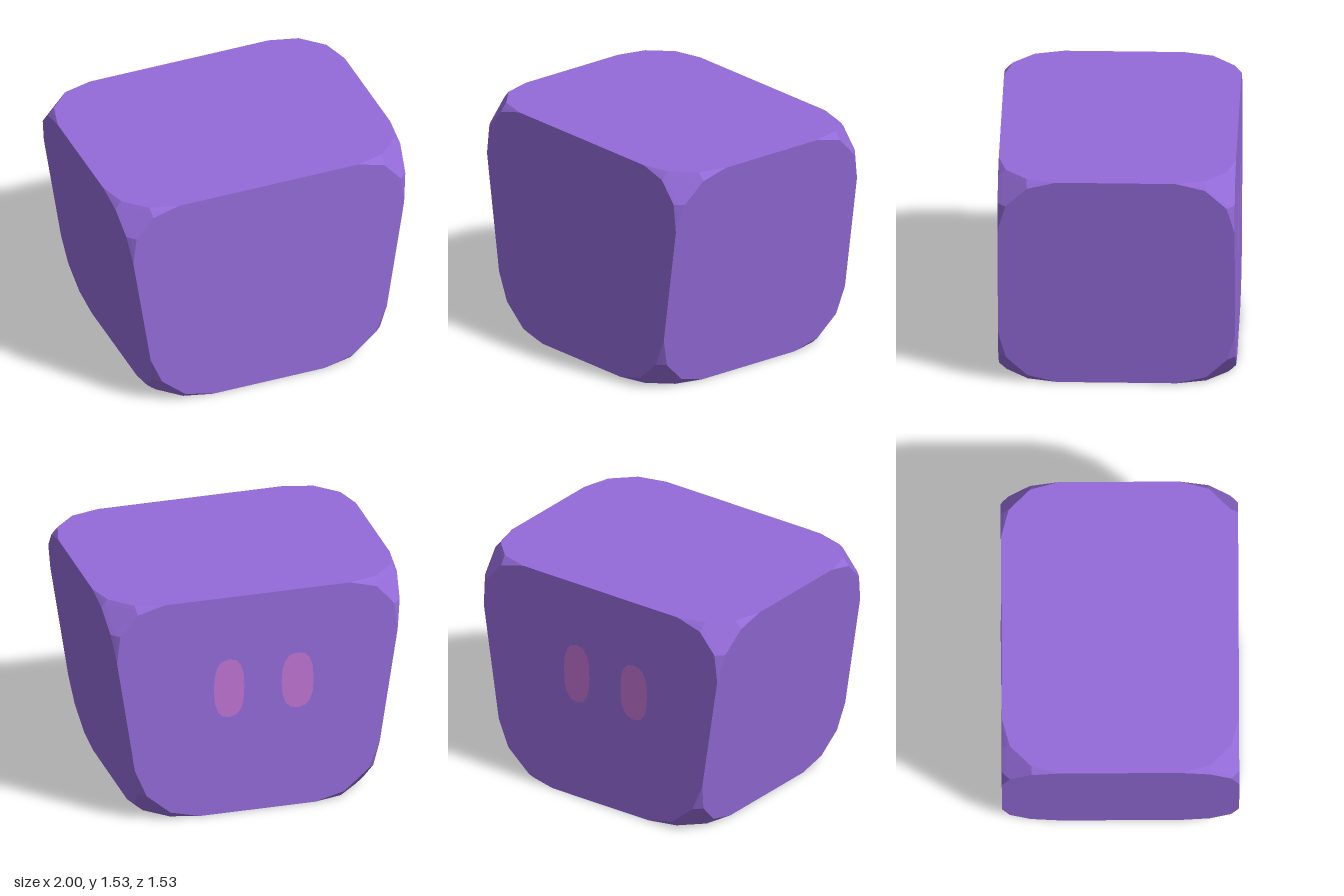
import * as THREE from 'three';
import { ConvexGeometry } from 'three/addons/geometries/ConvexGeometry.js';

const H = 1.53, D = 0.765, TOP = 1, BOTTOM = 0.765; // height, half depth, half widths

// Tapered block whose eight corners are rounded while its edges stay sharp
function bodyGeometry() {
  const r = 0.378, a = r * 0.5, b = r * 0.134, c = r * 0.065;
  // distances from a corner along its three edges
  const offsets = [
    [r, 0, 0], [0, r, 0], [0, 0, r],
    [a, b, 0], [b, a, 0], [a, 0, b], [b, 0, a], [0, a, b], [0, b, a],
    [a, c, c], [c, a, c], [c, c, a],
  ];
  const points = [];
  for (const sx of [-1, 1]) for (const top of [true, false]) for (const sz of [-1, 1]) {
    const half = top ? TOP : BOTTOM;
    const corner = new THREE.Vector3(sx * half, top ? H : 0, sz * D);
    const ex = new THREE.Vector3(-sx, 0, 0);
    const ey = new THREE.Vector3(sx * (TOP - BOTTOM), H, 0).normalize().multiplyScalar(top ? -1 : 1);
    const ez = new THREE.Vector3(0, 0, -sz);
    for (const [u, v, w] of offsets) {
      points.push(corner.clone().addScaledVector(ex, u).addScaledVector(ey, v).addScaledVector(ez, w));
    }
  }
  return new ConvexGeometry(points);
}

// Flat oval with fuller sides than an ellipse
function ovalGeometry(width, height) {
  const pts = [];
  const bulge = (t) => Math.sign(t) * Math.abs(t) ** 0.78;
  for (let i = 0; i < 16; i++) {
    const t = (i / 16) * Math.PI * 2;
    pts.push(new THREE.Vector2(bulge(Math.cos(t)) * width / 2, bulge(Math.sin(t)) * height / 2));
  }
  return new THREE.ShapeGeometry(new THREE.Shape(pts));
}

export function createModel() {
  const purple = new THREE.MeshStandardMaterial({ color: 0x946bd9 });
  purple.name = 'purple';
  const pink = new THREE.MeshStandardMaterial({ color: 0xbf74d2 });
  pink.name = 'pinkish purple';

  const group = new THREE.Group();
  group.name = 'roundedBlock';

  const body = new THREE.Mesh(bodyGeometry(), purple);
  body.name = 'body';
  group.add(body);

  // Two oval spots on the back face
  for (const [name, x, w, h] of [['leftSpot', 0.19, 0.205, 0.41], ['rightSpot', -0.27, 0.215, 0.39]]) {
    const spot = new THREE.Mesh(ovalGeometry(w, h), pink);
    spot.name = name;
    spot.rotation.y = Math.PI;
    spot.position.set(x, 0.885, -D - 0.003);
    group.add(spot);
  }
  return group;
}
